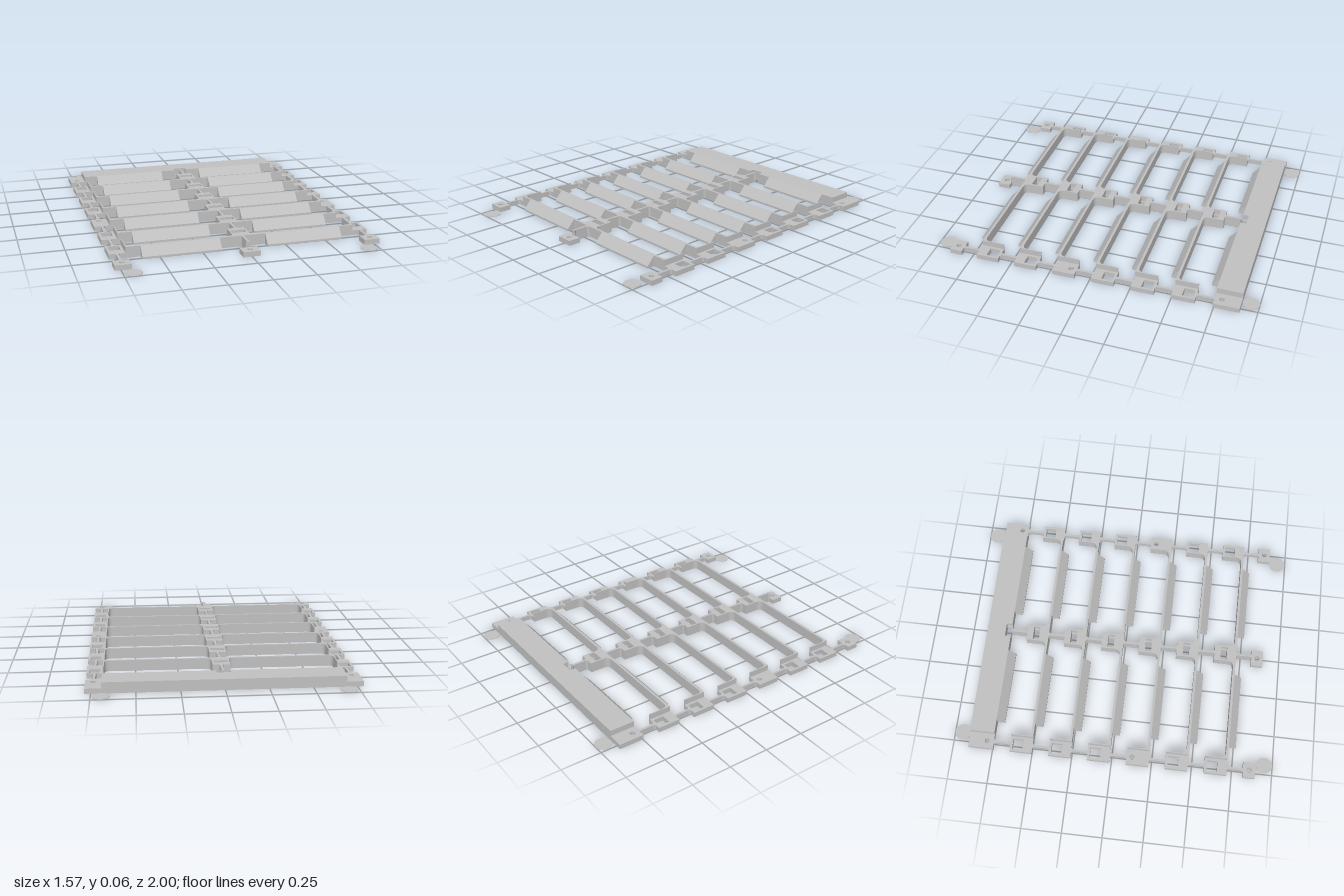
import * as THREE from 'three';

const HIGH = 0.065, LOW = 0.03;
const PITCH = 0.2435, FIRST = -0.5, DEPTH = 0.14;
const grey = new THREE.MeshStandardMaterial({ color: 0xc0c0c0 });
grey.name = 'plain grey';

// Plan outlines are drawn in (x, -z) and extruded upward.
function rectPath(x0, x1, z0, z1, path = new THREE.Path()) {
  path.moveTo(x0, -z1);
  path.lineTo(x1, -z1);
  path.lineTo(x1, -z0);
  path.lineTo(x0, -z0);
  path.closePath();
  return path;
}

function rectShape(x0, x1, z0, z1, holes = []) {
  const shape = rectPath(x0, x1, z0, z1, new THREE.Shape());
  shape.holes.push(...holes);
  return shape;
}

function roundHole(x, z, r = 0.016) {
  const path = new THREE.Path();
  path.absarc(x, -z, r, 0, Math.PI * 2, true);
  return path;
}

function plate(name, shape, height) {
  const geo = new THREE.ExtrudeGeometry(shape, { depth: height, bevelEnabled: false, curveSegments: 8 });
  geo.rotateX(-Math.PI / 2);
  const mesh = new THREE.Mesh(geo, grey);
  mesh.name = name;
  return mesh;
}

// Thin connector running along z, flared where it meets the blocks
function rod(name, x, z0, z1, height) {
  const w = 0.007, f = 0.014;
  const pts = [[-f, z1], [f, z1], [w, z1 - 0.01], [w, z0 + 0.01], [f, z0], [-f, z0], [-w, z0 + 0.01], [-w, z1 - 0.01]];
  return plate(name, new THREE.Shape(pts.map(([px, z]) => new THREE.Vector2(x + px, -z))), height);
}

// Sloping lip with a thin blunt front edge
function lip(side, z) {
  const profile = new THREE.Shape([[0, 0], [0.047, 0], [0.047, 0.012], [0, HIGH]].map(p => new THREE.Vector2(...p)));
  const geo = new THREE.ExtrudeGeometry(profile, { depth: 0.465, bevelEnabled: false });
  geo.rotateY(-Math.PI / 2);
  const mesh = new THREE.Mesh(geo, grey);
  mesh.name = 'slopingLip';
  mesh.position.set(side > 0 ? 0.603 : -0.138, 0, z);
  return mesh;
}

// Cross wall with side legs and a slotted centre block, as one outline
function rowShape(zf) {
  const back = -(zf - DEPTH), front = -zf, inner = -(zf - 0.015), r = 0.035, leg = 0.684, mid = 0.052;
  const s = new THREE.Shape();
  s.moveTo(-0.69, front);
  s.lineTo(0.69, front);
  s.lineTo(0.69, back);
  s.lineTo(leg, back);
  s.lineTo(leg, inner + r);
  s.quadraticCurveTo(leg, inner, leg - r, inner);
  s.lineTo(mid + r, inner);
  s.quadraticCurveTo(mid, inner, mid, inner + r);
  s.lineTo(mid, back);
  s.lineTo(-mid, back);
  s.lineTo(-mid, inner + r);
  s.quadraticCurveTo(-mid, inner, -mid - r, inner);
  s.lineTo(-leg + r, inner);
  s.quadraticCurveTo(-leg, inner, -leg, inner + r);
  s.lineTo(-leg, back);
  s.lineTo(-0.69, back);
  s.closePath();
  s.holes.push(rectPath(-0.042, 0.042, zf - 0.1, zf - 0.06));
  return s;
}

// Low ledges inside a centre slot
function ledges(group, z0, z1) {
  for (const s of [-1, 1]) {
    group.add(plate('slotLedge', rectShape(s * 0.037 - 0.005, s * 0.037 + 0.005, z0, z1), LOW));
  }
}

export function createModel() {
  const model = new THREE.Group();
  model.name = 'slattedRack';

  // Back bar with a notch in the middle of its front edge
  const bar = new THREE.Shape([
    [-0.69, -0.745], [-0.042, -0.745], [-0.042, -0.782], [0.042, -0.782], [0.042, -0.745],
    [0.69, -0.745], [0.69, -0.9], [-0.69, -0.9],
  ].map(([x, z]) => new THREE.Vector2(x, -z)));
  model.add(plate('backBar', bar, HIGH));
  ledges(model, -0.782, -0.745);

  // Repeating cross walls
  for (let i = 0; i < 6; i++) {
    const zf = FIRST + i * PITCH;
    const row = new THREE.Group();
    row.name = 'row';
    row.add(plate('crossWall', rowShape(zf), HIGH));
    ledges(row, zf - 0.1, zf - 0.06);
    for (const s of [-1, 1]) {
      row.add(lip(s, zf));
      const hole = i === 3
        ? roundHole(s * 0.738, zf - 0.105)
        : rectPath(s * 0.738 - 0.032, s * 0.738 + 0.032, zf - 0.125, zf - 0.06);
      const x0 = s > 0 ? 0.69 : -0.785;
      row.add(plate('sideBlock', rectShape(x0, x0 + 0.095, zf - DEPTH, zf, [hole]), LOW));
    }
    model.add(row);
  }

  // Connectors between neighbouring rows
  for (let i = 0; i < 7; i++) {
    const z0 = i === 0 ? -0.745 : FIRST + (i - 1) * PITCH;
    const z1 = FIRST + i * PITCH - DEPTH;
    for (const x of [-0.738, 0.738]) model.add(rod('sideRod', x, z0, z1, LOW));
    model.add(rod('centreRod', 0, z0, z1, HIGH));
  }

  // Bar ends, front feet and corner discs
  for (const s of [-1, 1]) {
    const x0 = s > 0 ? 0.69 : -0.785;
    model.add(lip(s, -0.745));
    model.add(plate('barEnd', rectShape(x0, x0 + 0.095, -0.9, -0.745, [roundHole(s * 0.738, -0.787)]), LOW));
    model.add(plate('frontFoot', rectShape(x0, x0 + 0.095, 0.817, 0.893, [roundHole(s * 0.738, 0.855)]), LOW));
    for (const z of [-0.951, 0.949]) {
      const disc = new THREE.Mesh(new THREE.CylinderGeometry(0.05, 0.05, 0.003, 32), grey);
      disc.name = 'cornerDisc';
      disc.position.set(s * 0.692, 0.0015, z);
      model.add(disc);
    }
  }
  model.add(plate('centreFoot', rectShape(-0.052, 0.052, 0.817, 0.893, [roundHole(0, 0.855)]), LOW));
  return model;
}
